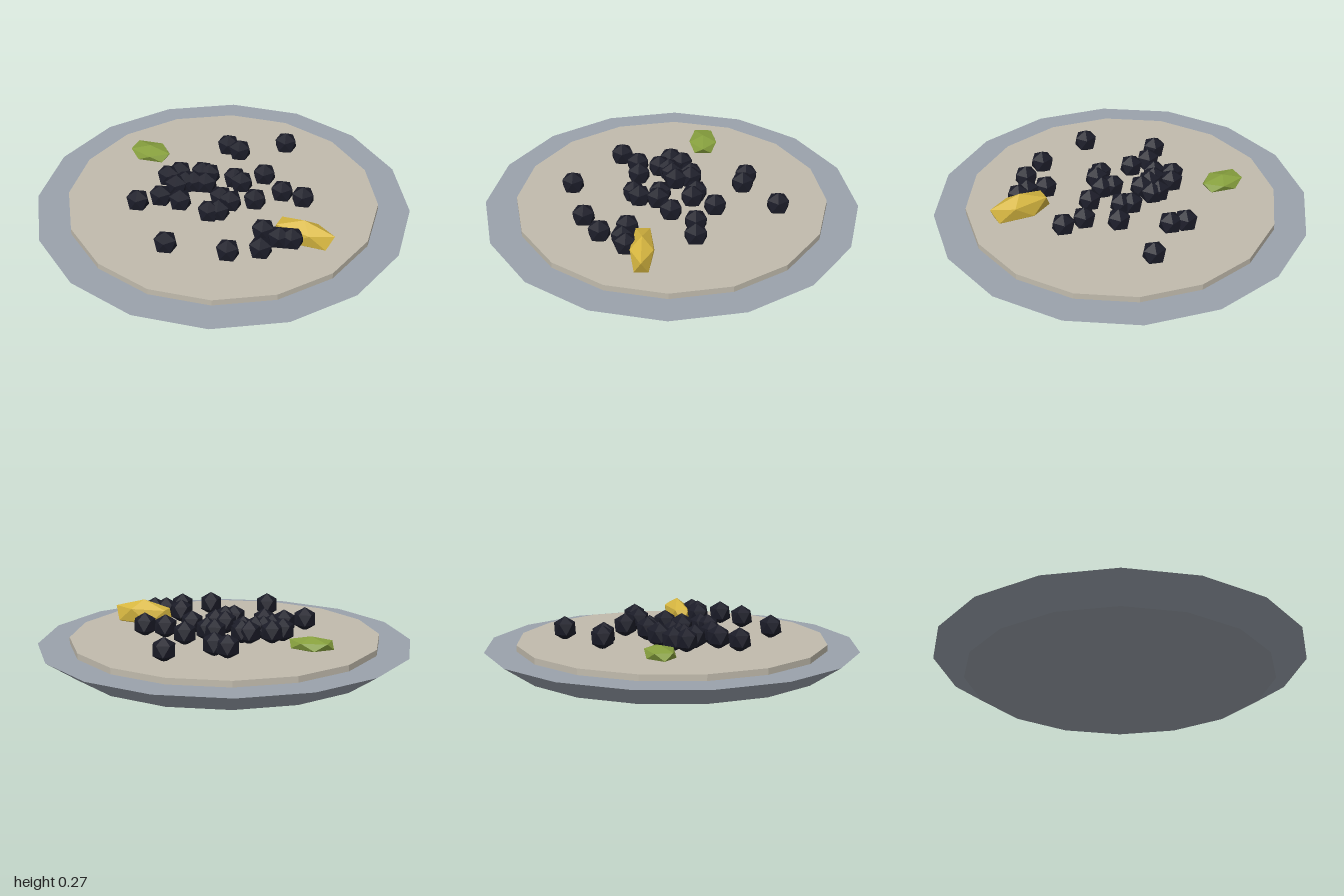
import * as THREE from 'three';

const mat = (name, color) => {
  const m = new THREE.MeshStandardMaterial({ color, flatShading: true });
  m.name = name;
  return m;
};

// Icosahedron standing on one point, with an upper ring corner toward +x
function nugget() {
  return new THREE.IcosahedronGeometry(1, 0)
    .rotateX(-Math.atan((1 + Math.sqrt(5)) / 2))
    .rotateY(Math.PI / 2);
}

export function createModel() {
  const model = new THREE.Group();
  const slate = mat('slate grey', 0x9aa2ac);
  const cream = mat('pale cream', 0xc1bbad);
  const dark = mat('dark berry', 0x1b1c28);
  const yellow = mat('golden yellow', 0xd6b640);
  const green = mat('leaf green', 0x87a03e);

  const add = (name, geometry, material, pos, scale = [1, 1, 1], parent = model) => {
    const mesh = new THREE.Mesh(geometry, material);
    mesh.name = name;
    mesh.position.set(...pos);
    mesh.scale.set(...scale);
    parent.add(mesh);
  };

  // Flared plate and the flat filling on top of it
  add('plate', new THREE.CylinderGeometry(1, 0.83, 0.112, 16), slate, [0, 0.056, 0]);
  add('filling', new THREE.CylinderGeometry(0.83, 0.83, 0.035, 16), cream, [0, 0.1275, 0]);

  // Scattered berries, as x, z pairs
  const spots = [
    [0.12, -0.56], [-0.16, -0.4], [-0.08, -0.38], [0.14, -0.23], [0.29, -0.13],
    [0.41, -0.13], [0.01, -0.13], [0.06, -0.11], [-0.17, -0.1], [-0.13, -0.1],
    [-0.28, -0.05], [-0.32, 0.01], [-0.11, -0.02], [-0.17, 0], [-0.21, 0.02],
    [-0.24, 0.07], [0.19, 0], [0.02, 0.06], [0.08, 0.07], [-0.27, 0.19],
    [-0.16, 0.18], [-0.36, 0.28], [0.06, 0.17], [0.02, 0.2], [0.34, 0.22],
    [0.44, 0.24], [0.5, 0.22], [0.39, 0.36], [0.25, 0.45], [-0.06, 0.53],
  ];
  const geo = nugget();
  const berries = new THREE.Group();
  berries.name = 'berries';
  model.add(berries);
  for (const [x, z] of spots) add('berry', geo, dark, [x, 0.202, z], [0.066, 0.066, 0.066], berries);

  // Two stretched garnishes
  add('yellowGarnish', geo, yellow, [0.53, 0.187, 0.137], [0.19, 0.084, 0.07]);
  add('greenGarnish', geo, green, [-0.53, 0.19, -0.168], [0.132, 0.041, 0.088]);
  return model;
}
